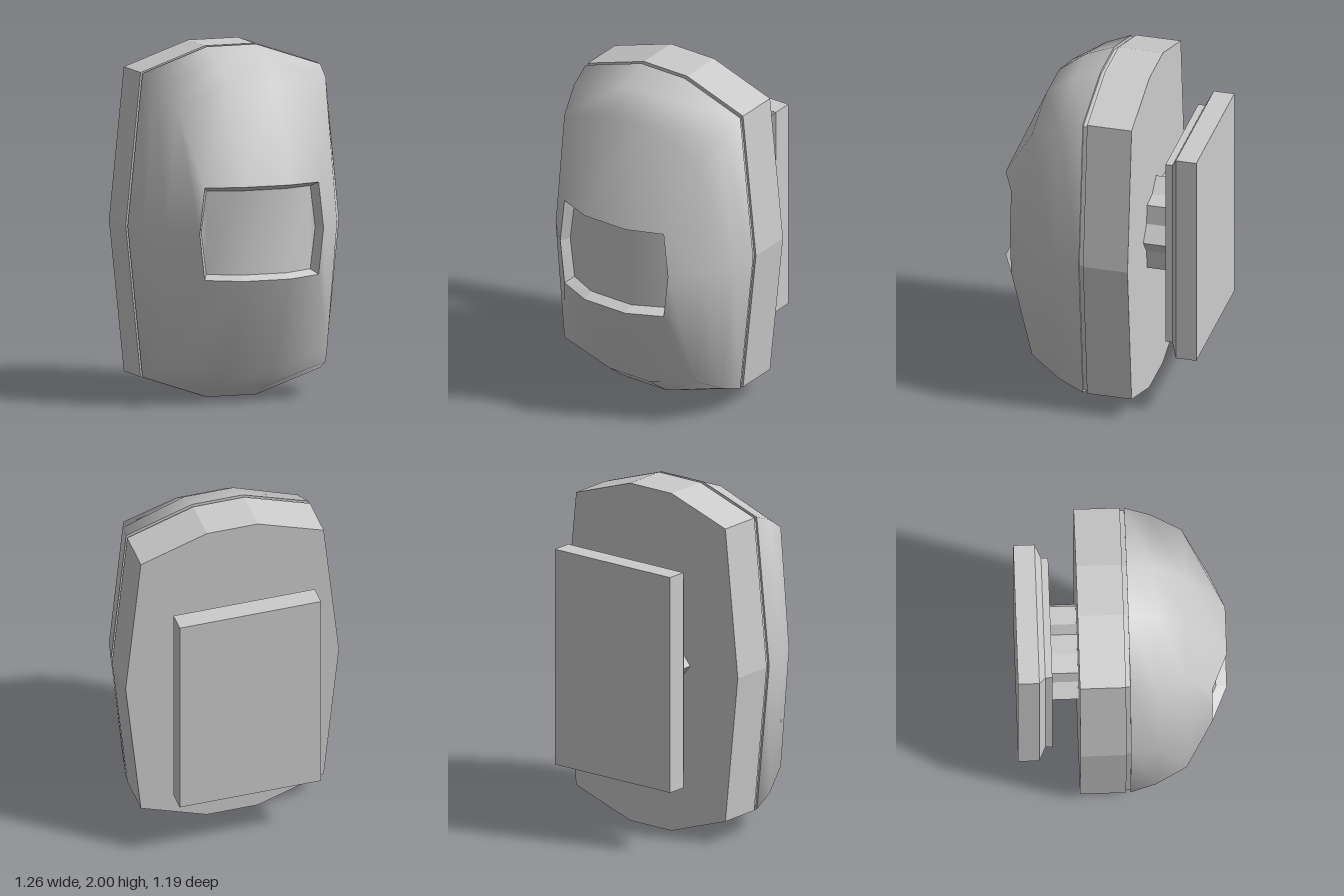
import * as THREE from 'three';

const material = new THREE.MeshStandardMaterial({ color: 0xcccccc });

// Ten-sided ring from three quarter points [x, y, z]: side middle, corner, top; heights are relative to y = 1
function ring([sx, sz], [cx, cy, cz], [tx, ty, tz]) {
  const right = [[cx, cy, cz], [tx, ty, tz]];
  const left = right.map(([x, y, z]) => [-x, y, z]).reverse();
  const upper = [...right, ...left];
  const lower = upper.map(([x, y, z]) => [-x, -y, z]);
  return [[sx, 0, sz], ...upper, [-sx, 0, sz], ...lower].map(([x, y, z]) => [x, y + 1, z]);
}

const outline = (s, z) => ring([0.63 * s, z], [0.54 * s, 0.867 * s, z], [0.15 * s, s, z]);

function build(points, index, smooth) {
  let geometry = new THREE.BufferGeometry();
  geometry.setAttribute('position', new THREE.Float32BufferAttribute(points.flat(), 3));
  geometry.setIndex(index);
  if (!smooth) geometry = geometry.toNonIndexed();
  geometry.computeVertexNormals();
  return geometry;
}

// Skin joining successive rings
function loft(rings, smooth) {
  const n = rings[0].length;
  const index = [];
  for (let r = 0; r < rings.length - 1; r++) {
    for (let i = 0; i < n; i++) {
      const a = r * n + i, b = r * n + (i + 1) % n;
      index.push(a, b, b + n, a, b + n, a + n);
    }
  }
  return build(rings.flat(), index, smooth);
}

// Straight prism of a closed outline between two depths
function prism(points, back, front) {
  const shape = new THREE.Shape(points.map(([x, y]) => new THREE.Vector2(x, y)));
  const geometry = new THREE.ExtrudeGeometry(shape, { depth: front - back, bevelEnabled: false });
  return geometry.translate(0, 0, back);
}

const rectangle = (w, h, z) => [[w, -h, z], [w, h, z], [-w, h, z], [-w, -h, z]].map(([x, y, d]) => [x, y + 1.003, d]);

export function createModel() {
  const group = new THREE.Group();
  const add = (name, geometry) => {
    const mesh = new THREE.Mesh(geometry, material);
    mesh.name = name;
    group.add(mesh);
  };

  // Back housing and the recessed seam in front of it
  add('backHousing', prism(outline(1, 0), -0.25, 0.01));
  add('seam', prism(outline(0.98, 0), 0, 0.036));

  // Domed cover tapering to the window opening
  const opening = ring([0.375, 0.505], [0.345, 0.263, 0.505], [0.14, 0.268, 0.592]);
  const edge = outline(0.998, 0.035);
  add('cover', loft([
    edge,
    ring([0.592, 0.19], [0.515, 0.81, 0.18], [0.145, 0.93, 0.2]),
    ring([0.515, 0.355], [0.455, 0.71, 0.355], [0.14, 0.81, 0.355]),
    opening,
  ], true));
  add('coverLip', loft([outline(0.97, 0.035), edge], false));

  // Recessed window: sloping frame and curved pane
  const pane = ring([0.345, 0.45], [0.315, 0.237, 0.45], [0.14, 0.24, 0.532]);
  add('windowFrame', loft([opening, pane], false));
  add('windowPane', build(pane, [
    0, 1, 9, 1, 2, 8, 1, 8, 9, 2, 3, 7, 2, 7, 8, 3, 4, 6, 3, 6, 7, 4, 5, 6,
  ], true));

  // Eight-pointed swivel neck
  const star = [];
  for (let i = 0; i < 16; i++) {
    const radius = i % 2 ? 0.23 : 0.285;
    const angle = i * Math.PI / 8;
    star.push([radius * Math.cos(angle), 1.003 + radius * Math.sin(angle)]);
  }
  add('neck', prism(star, -0.41, -0.24));

  // Wall plate with a bevelled shoulder
  const small = rectangle(0.36, 0.572, -0.4);
  const large = rectangle(0.417, 0.638, -0.595);
  add('wallPlate', loft([
    large,
    rectangle(0.417, 0.638, -0.475),
    rectangle(0.36, 0.572, -0.44),
    small,
  ], false));
  add('wallPlateFront', build(small, [0, 1, 2, 0, 2, 3], false));
  add('wallPlateBack', build(large, [0, 2, 1, 0, 3, 2], false));

  return group;
}
